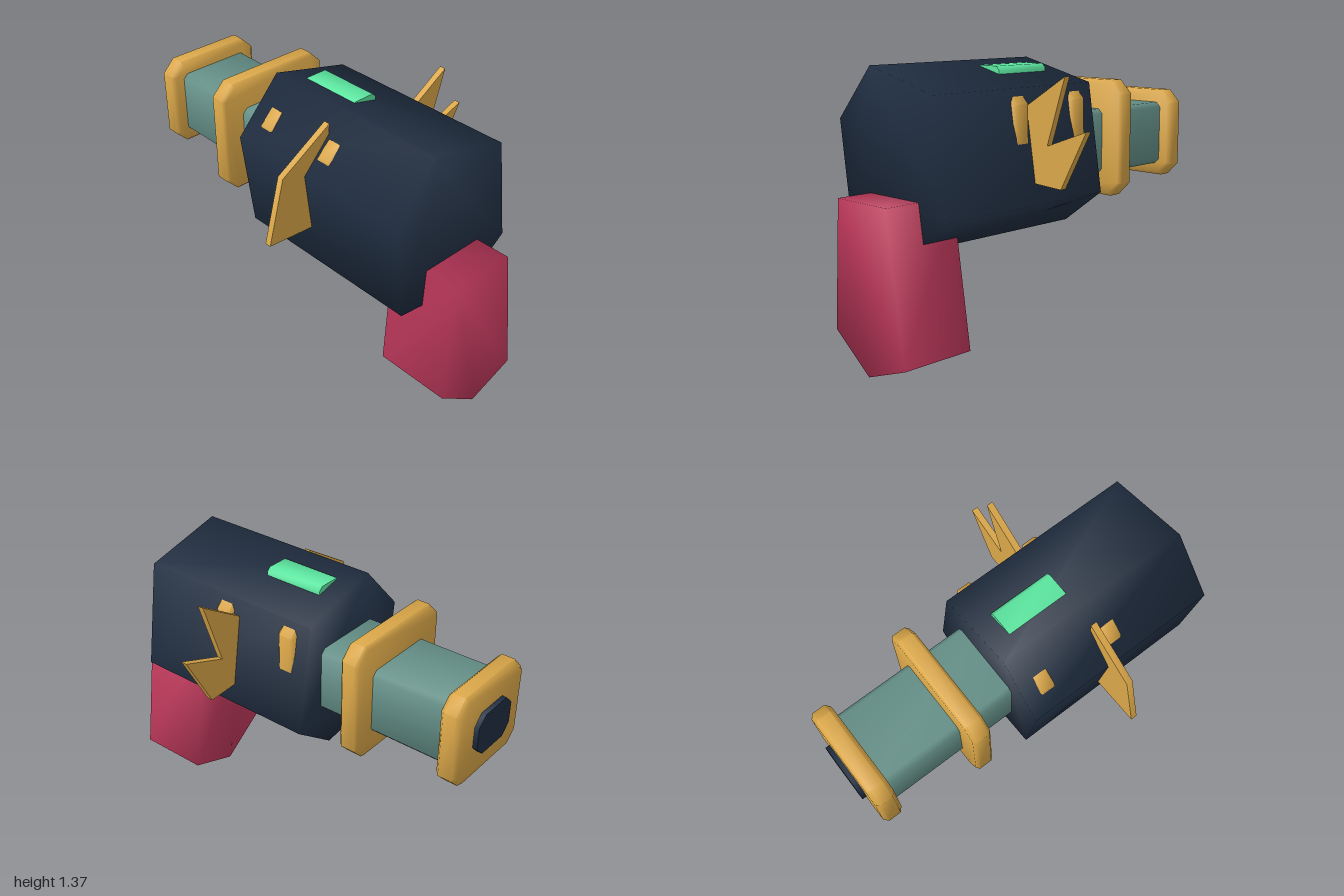
import * as THREE from 'three';
import { mergeVertices, toCreasedNormals } from 'three/addons/utils/BufferGeometryUtils.js';

const COLORS = { navy: 0x1f2d40, gold: 0xd9a648, teal: 0x648f87, red: 0xc0395c, green: 0x5ce6a0 };
const materials = {};
for (const key in COLORS) materials[key] = new THREE.MeshStandardMaterial({ color: COLORS[key] });

// Extrudes an xy outline between two z values, with an optional edge bevel
function prism(points, z0, z1, bevel = 0) {
  const shape = new THREE.Shape(points.map(([x, y]) => new THREE.Vector2(x, y)));
  const geometry = new THREE.ExtrudeGeometry(shape, {
    depth: z1 - z0 - 2 * bevel,
    bevelEnabled: bevel > 0,
    bevelSize: bevel,
    bevelThickness: bevel,
    bevelOffset: -bevel,
    bevelSegments: 1,
  });
  return geometry.translate(0, 0, z0 + bevel);
}

// Rectangle with its four corners cut off
function cutRect(x0, x1, y0, y1, c) {
  return [
    [x0 + c, y0], [x1 - c, y0], [x1, y0 + c], [x1, y1 - c],
    [x1 - c, y1], [x0 + c, y1], [x0, y1 - c], [x0, y0 + c],
  ];
}

// Shares vertices so that shading runs softly across all the edges
function soften(geometry) {
  geometry.deleteAttribute('normal');
  geometry.deleteAttribute('uv');
  const merged = mergeVertices(geometry, 1e-4);
  merged.computeVertexNormals();
  return merged;
}

export function createModel() {
  const model = new THREE.Group();
  model.name = 'blaster';
  const add = (name, geometry, color) => {
    const mesh = new THREE.Mesh(geometry, materials[color]);
    mesh.name = name;
    model.add(mesh);
  };
  const creased = (geometry) => toCreasedNormals(geometry, 0.9);

  // Irregular six-sided body
  const bodyOutline = [
    [-0.18, 1.37], [-0.415, 1.115], [-0.35, 0.62], [0.1, 0.557], [0.33, 0.727], [0.245, 1.263],
  ];
  add('body', soften(prism(bodyOutline, -0.185, 0.82)), 'navy');

  // Grip, flaring down to a point
  const gripOutline = [[-0.2, 0.79], [-0.245, 0.173], [-0.01, 0], [0.245, 0.09], [0.14, 0.79]];
  add('grip', soften(prism(gripOutline, 0.62, 1)), 'red');

  // Barrel and muzzle
  add('barrel', creased(prism(cutRect(-0.235, 0.165, 0.775, 1.11, 0.025), -0.92, 0)), 'teal');
  add('muzzle', creased(prism(cutRect(-0.17, 0.1, 0.84, 1.05, 0.05), -1, -0.95)), 'navy');

  // Equal rings along the barrel; two of them just break through the body
  for (const z of [-0.433, -0.067, 0.318]) {
    const outline = cutRect(-0.352, 0.285, 0.665, 1.26, 0.068);
    add('barrelRing', creased(prism(outline, z - 0.048, z + 0.048, 0.015)), 'gold');
  }
  const endOutline = cutRect(-0.3, 0.232, 0.71, 1.177, 0.065);
  add('muzzleRing', creased(prism(endOutline, -0.977, -0.873, 0.02)), 'gold');

  // Sight plate sunk into the top
  add('sight', creased(prism(cutRect(-0.1, 0.05, 1.25, 1.35, 0.02), -0.08, 0.238)), 'green');

  // Side fins: a forked one and a plain one
  const forkedFin = [
    [0.15, 1.113], [0.15, 0.834], [0.472, 0.815], [0.62, 1.09], [0.388, 1.006], [0.492, 1.325],
  ];
  const plainFin = [[-0.265, 1.325], [-0.54, 1.157], [-0.625, 0.837], [-0.3, 0.815]];
  add('leftFin', creased(prism(forkedFin, 0.235, 0.267)), 'gold');
  add('rightFin', creased(prism(plainFin, 0.235, 0.267)), 'gold');

  return model;
}
